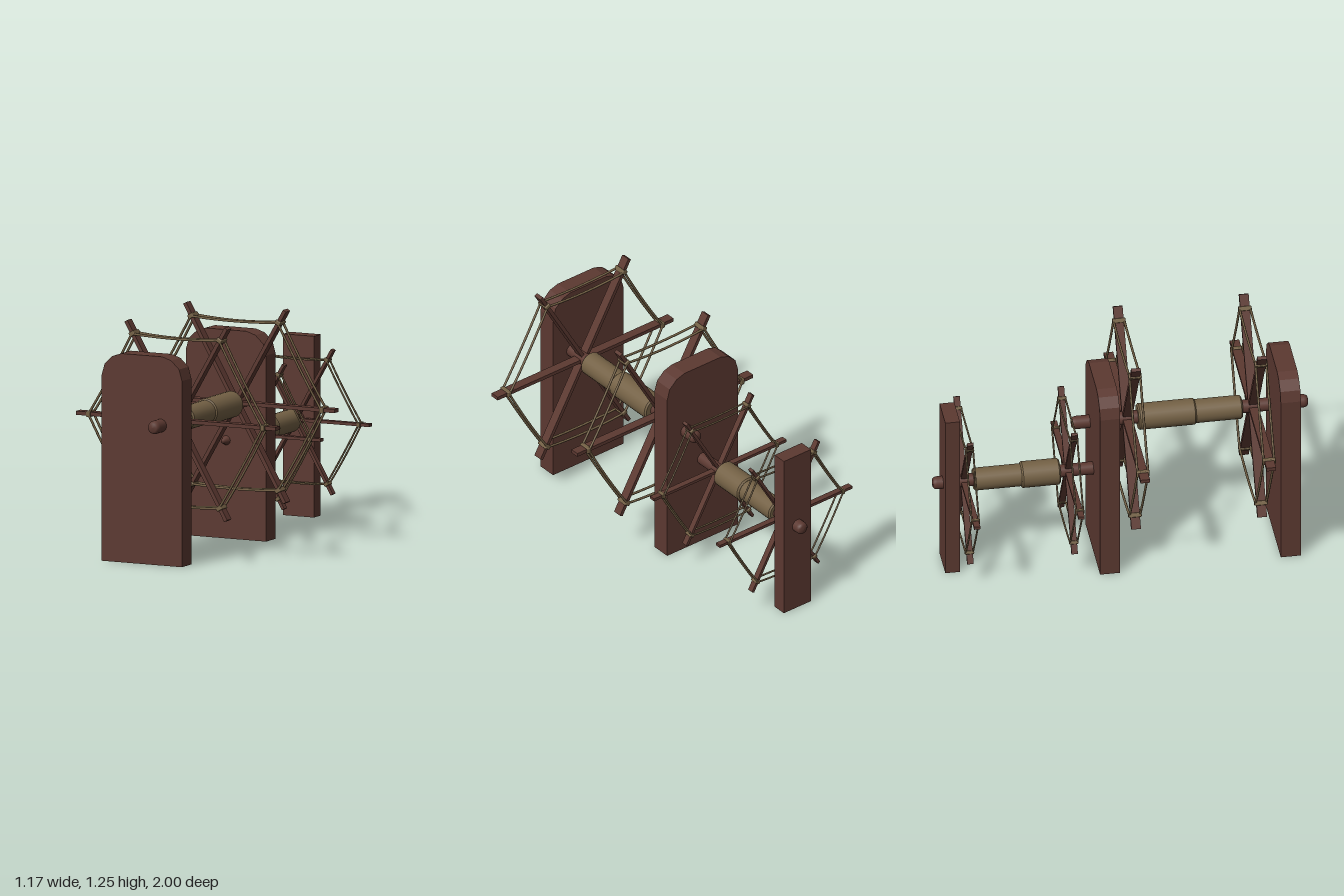
import * as THREE from 'three';
import { RoundedBoxGeometry } from 'three/addons/geometries/RoundedBoxGeometry.js';

const wood = new THREE.MeshStandardMaterial({ color: 0x5c3931 });
wood.name = 'dark wood';
const rope = new THREE.MeshStandardMaterial({ color: 0x746145 });
rope.name = 'rope';

function add(parent, name, geometry, material) {
  const mesh = new THREE.Mesh(geometry, material);
  mesh.name = name;
  parent.add(mesh);
  return mesh;
}

// Turned part along z; profile is [radius, z] from back to front
function turned(profile) {
  const pts = profile.map(([r, z]) => new THREE.Vector2(r, z));
  return new THREE.LatheGeometry(pts, 24).rotateX(Math.PI / 2);
}

// Upright board with rounded shoulders
function shoulderedBoard() {
  const half = [[0.235, 0], [0.235, 0.98], [0.218, 1.04], [0.172, 1.083], [0.12, 1.1]];
  const outline = [...half, ...half.map(([x, y]) => [-x, y]).reverse()];
  const shape = new THREE.Shape(outline.map(([x, y]) => new THREE.Vector2(x, y)));
  return new THREE.ExtrudeGeometry(shape, { depth: 0.106, bevelEnabled: false });
}

// Six-armed wheel: three crossing bars, lashings, and a pair of sagging cords
function wheel({ arm, ring, thick, width, cord, sag }) {
  const group = new THREE.Group();
  group.name = 'wheel';
  for (let i = 0; i < 3; i++) {
    const bar = add(group, 'spokeBar', new THREE.BoxGeometry(arm * 2, thick, width), wood);
    bar.rotation.z = i * Math.PI / 3;
  }
  const corner = i => new THREE.Vector3(
    ring * Math.cos(i * Math.PI / 3), ring * Math.sin(i * Math.PI / 3), 0);
  for (let i = 0; i < 6; i++) {
    const a = corner(i), b = corner(i + 1);
    const knot = add(group, 'lashing',
      new RoundedBoxGeometry(thick * 1.2, thick + cord * 2, width + cord * 3, 2, cord * 0.8), rope);
    knot.position.copy(a);
    knot.rotation.z = i * Math.PI / 3;
    for (const side of [-1, 1]) {
      const z = side * (width / 2 + cord * 0.5);
      const mid = a.clone().add(b).multiplyScalar(0.5);
      mid.y -= 2 * sag * (side > 0 ? 1 : 1.5);
      const curve = new THREE.QuadraticBezierCurve3(
        a.clone().setZ(z), mid.setZ(z), b.clone().setZ(z));
      add(group, 'cord', new THREE.TubeGeometry(curve, 12, cord, 6), rope);
    }
  }
  return group;
}

// Axle with its wound drum and two wheels
function spindle(name, x, y, axle, drum, wheelSpec, wheelZs) {
  const group = new THREE.Group();
  group.name = name;
  group.position.set(x, y, 0);
  add(group, 'axle', turned(axle), wood);
  for (const [z0, z1, r] of drum) {
    const c = 0.008;
    add(group, 'drum', turned([
      [0, z0], [r - c, z0], [r - c, z0], [r, z0 + c], [r, z0 + c],
      [r, z1 - c], [r, z1 - c], [r - c, z1], [r - c, z1], [0, z1]]), rope);
  }
  for (const z of wheelZs) {
    const w = wheel(wheelSpec);
    w.position.z = z;
    group.add(w);
  }
  return group;
}

export function createModel() {
  const model = new THREE.Group();
  model.name = 'twinSpindleFrame';

  // Supports
  for (const [name, z] of [['frontBoard', 0.8], ['middleBoard', -0.153]]) {
    add(model, name, shoulderedBoard(), wood).position.set(-0.11, 0, z);
  }
  add(model, 'backPost', new THREE.BoxGeometry(0.18, 0.955, 0.077), wood)
    .position.set(-0.11, 0.4775, -0.907);

  // Large spindle
  model.add(spindle('largeSpindle', 0, 0.737,
    [[0, -0.25], [0.022, -0.248], [0.031, -0.24], [0.035, -0.225],
      [0.035, 0.975], [0.031, 0.99], [0.022, 0.998], [0, 1]],
    [[0.39, 0.65, 0.063], [0.1, 0.405, 0.07]],
    { arm: 0.585, ring: 0.51, thick: 0.02, width: 0.05, cord: 0.0065, sag: 0.009 },
    [0.71, 0.045]));

  // Small spindle with a tapered front tip
  model.add(spindle('smallSpindle', -0.11, 0.517,
    [[0, -1], [0.022, -0.998], [0.031, -0.99], [0.034, -0.975],
      [0.034, -0.06], [0.03, -0.05], [0.022, -0.045], [0.012, -0.012], [0, -0.01]],
    [[-0.535, -0.33, 0.07], [-0.785, -0.525, 0.06]],
    { arm: 0.44, ring: 0.378, thick: 0.016, width: 0.033, cord: 0.005, sag: 0.006 },
    [-0.285, -0.835]));

  return model;
}
